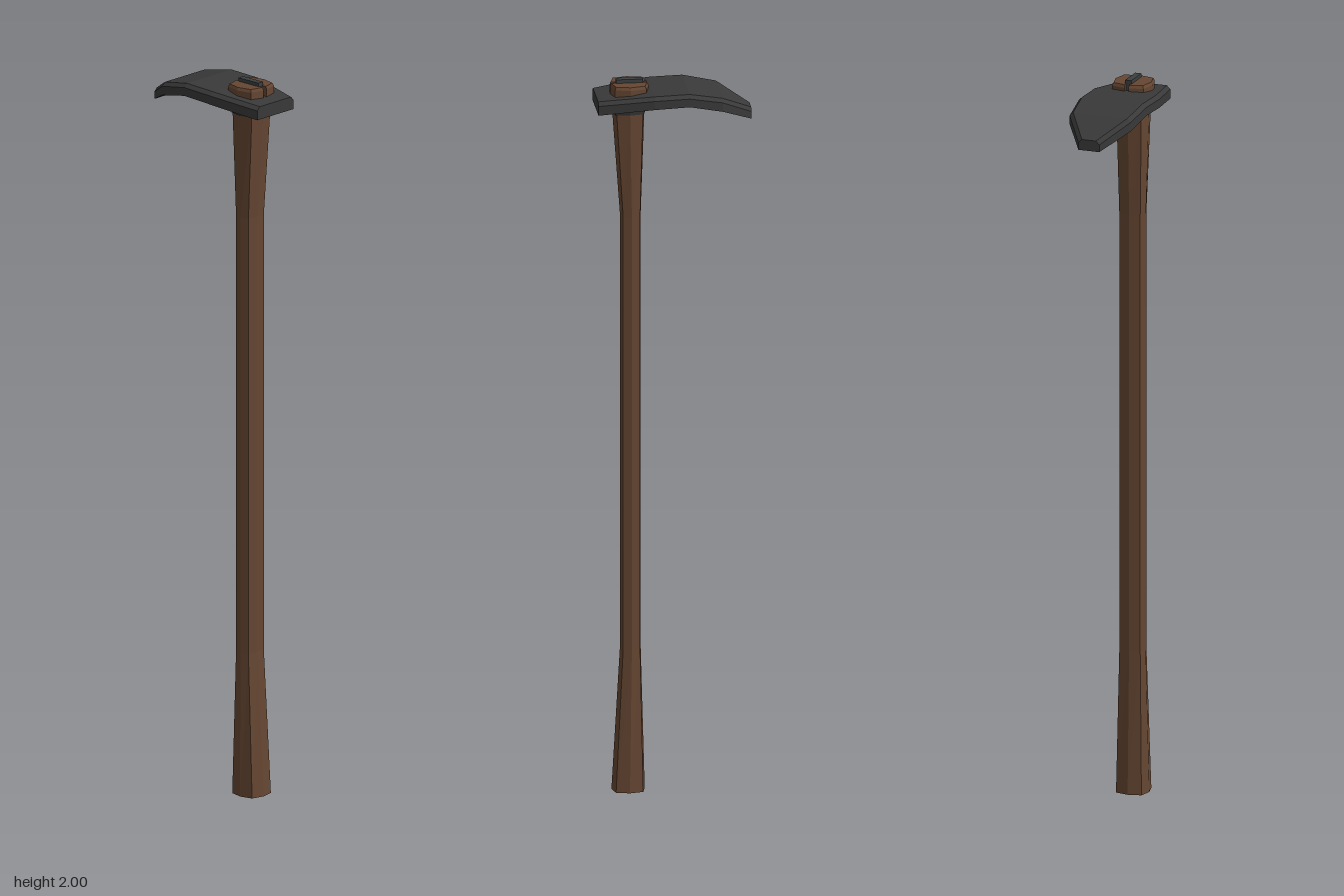
import * as THREE from 'three';

const HANDLE_Z = 0.121;

// Joins closed rings of [x, y, z] points into a capped solid
function loft(rings) {
  const pos = [];
  const tri = (a, b, c) => pos.push(...a, ...b, ...c);
  const n = rings[0].length;
  for (let i = 0; i < rings.length - 1; i++) {
    for (let j = 0; j < n; j++) {
      const k = (j + 1) % n;
      const a = rings[i][j], b = rings[i][k], c = rings[i + 1][k], d = rings[i + 1][j];
      tri(a, b, c);
      tri(a, c, d);
    }
  }
  const first = rings[0], last = rings[rings.length - 1];
  for (let j = 1; j < n - 1; j++) {
    tri(first[0], first[j + 1], first[j]);
    tri(last[0], last[j], last[j + 1]);
  }
  const geo = new THREE.BufferGeometry();
  geo.setAttribute('position', new THREE.Float32BufferAttribute(pos, 3));
  geo.computeVertexNormals();
  return geo;
}

// Flattened octagon with half width rx and half depth rz
function octagon(y, rx, rz, z = HANDLE_Z) {
  const pts = [];
  for (let i = 0; i < 8; i++) {
    const a = (i * Math.PI) / 4, s = i % 2 ? 1.15 : 1;
    pts.push([Math.cos(a) * rx * s, y, z - Math.sin(a) * rz * s]);
  }
  return pts;
}

// Blade section with chamfered upper edges
function bladeSection([z, w, bottom, top]) {
  const c = 0.01;
  return [
    [-w, bottom, z], [w, bottom, z], [w, top - c, z],
    [w - c, top, z], [-w + c, top, z], [-w, top - c, z],
  ];
}

export function createModel() {
  const model = new THREE.Group();
  const wood = new THREE.MeshStandardMaterial({ color: 0x654632, flatShading: true });
  wood.name = 'wood';
  const iron = new THREE.MeshStandardMaterial({ color: 0x393939, flatShading: true });
  iron.name = 'darkIron';
  const wedgeIron = new THREE.MeshStandardMaterial({ color: 0x3c3f40, flatShading: true });
  wedgeIron.name = 'wedgeIron';

  const add = (name, geo, mat, parent = model) => {
    const mesh = new THREE.Mesh(geo, mat);
    mesh.name = name;
    parent.add(mesh);
    return mesh;
  };

  // Handle, flared at both ends
  add('handle', loft([
    octagon(0, 0.045, 0.045),
    octagon(0.4, 0.037, 0.028, 0.115),
    octagon(1.62, 0.037, 0.028, 0.115),
    octagon(1.94, 0.045, 0.045),
  ]), wood);

  // Curved blade, from the rear cutting edge to the front
  add('blade', loft([
    [-0.209, 0.03, 1.884, 1.914],
    [-0.125, 0.088, 1.925, 1.96],
    [-0.035, 0.097, 1.944, 1.977],
    [0.06, 0.098, 1.94, 1.974],
    [0.209, 0.071, 1.921, 1.957],
  ].map(bladeSection)), iron);

  // Eye collar below the blade
  add('collar', loft([octagon(1.91, 0.047, 0.047), octagon(1.935, 0.052, 0.052)]), iron);

  // Split handle end standing above the blade
  const half = [[0.006, 0.052], [0.045, 0.042], [0.055, 0], [0.045, -0.042], [0.006, -0.052]];
  const ring = (y, s) => half.map(([x, z]) => [Math.max(0.006, x * s), y, z * s]);
  const halfGeo = loft([ring(1.94, 1), ring(1.982, 1), ring(1.99, 0.93)]);
  for (const side of [0, 1]) {
    const mesh = add(side ? 'handleEndRight' : 'handleEndLeft', halfGeo, wood);
    mesh.position.z = 0.119;
    mesh.rotation.y = side * Math.PI;
  }

  // Wedge driven into the split
  const wedge = add('wedge', new THREE.BoxGeometry(0.018, 0.05, 0.073), wedgeIron);
  wedge.position.set(0, 1.975, 0.118);

  return model;
}
